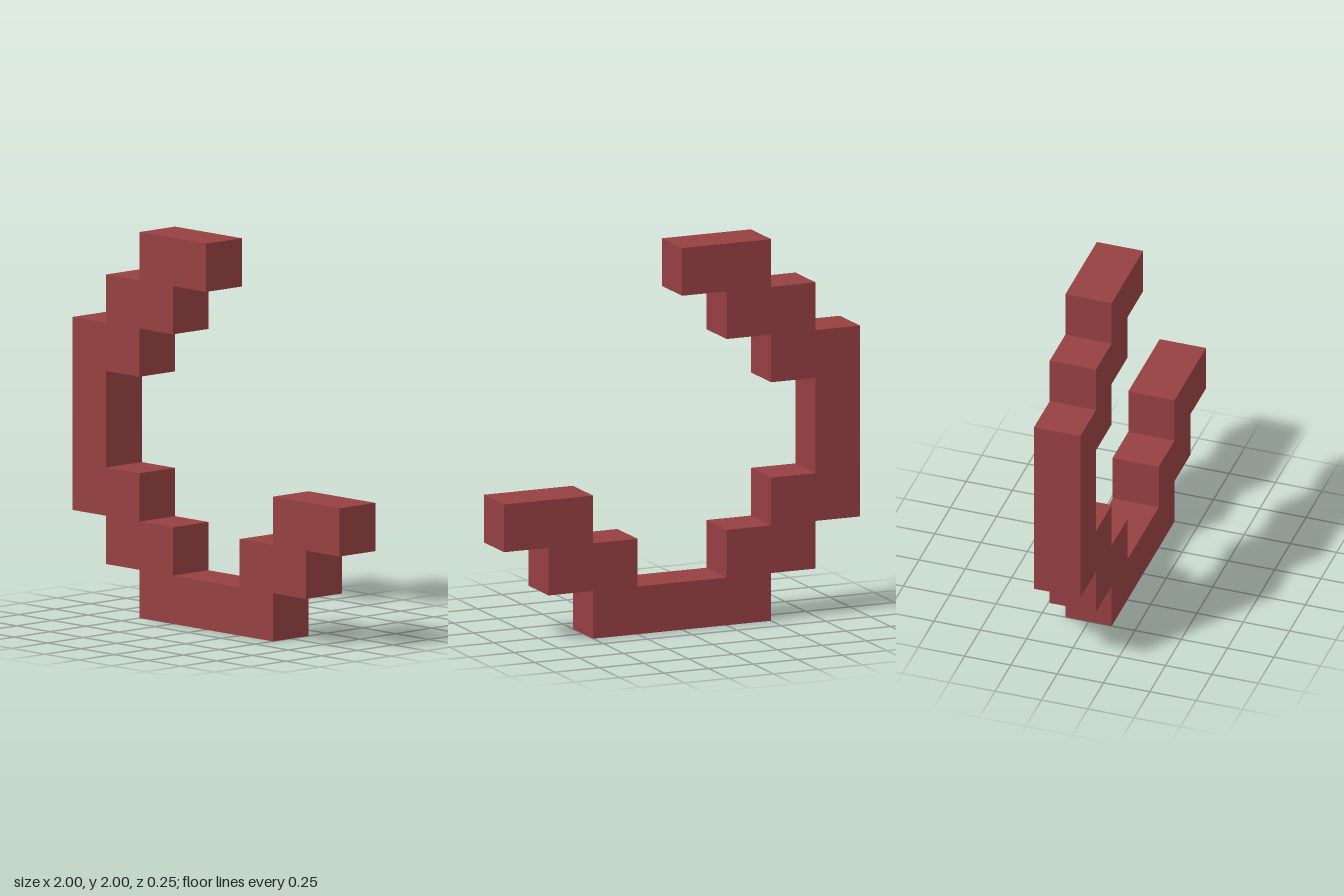
import * as THREE from 'three';

const UNIT = 0.25; // edge of one block

// Stepped crescent outline, counter-clockwise, in block units
const OUTLINE = [
  // underside and right arm
  [-2, 0], [2, 0], [2, 1], [3, 1], [3, 2], [4, 2], [4, 3], [2, 3], [2, 2], [1, 2], [1, 1],
  // inner edge, from the bottom up to the upper tip
  [-1, 1], [-1, 2], [-2, 2], [-2, 3], [-3, 3], [-3, 5], [-2, 5], [-2, 6], [-1, 6], [-1, 7], [0, 7],
  // outer edge back down
  [0, 8], [-2, 8], [-2, 7], [-3, 7], [-3, 6], [-4, 6], [-4, 2], [-3, 2], [-3, 1], [-2, 1],
];

export function createModel() {
  const group = new THREE.Group();
  group.name = 'blockCrescent';

  const darkRed = new THREE.MeshStandardMaterial({ color: 0x964042 });
  darkRed.name = 'dark red';

  // One block thick, centred on z = 0
  const shape = new THREE.Shape(OUTLINE.map(([x, y]) => new THREE.Vector2(x * UNIT, y * UNIT)));
  const geometry = new THREE.ExtrudeGeometry(shape, { depth: UNIT, bevelEnabled: false });
  geometry.translate(0, 0, -UNIT / 2);

  const crescent = new THREE.Mesh(geometry, darkRed);
  crescent.name = 'crescent';
  group.add(crescent);
  return group;
}
